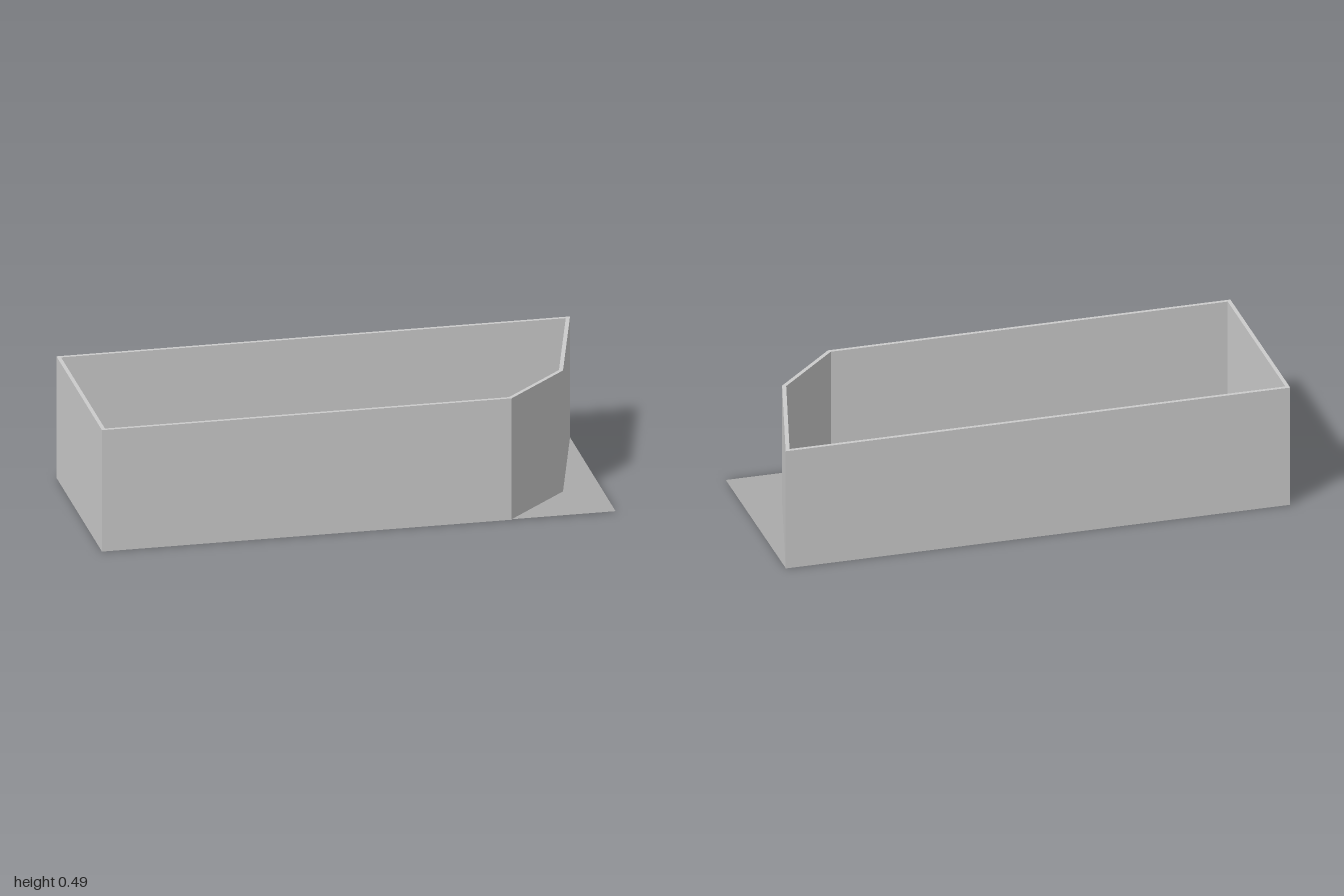
import * as THREE from 'three';
import { toCreasedNormals } from 'three/addons/utils/BufferGeometryUtils.js';

const HEIGHT = 0.494;
// Room plan as [x, z] corners, outside and inside of the walls
const OUTER = [[-1, -0.405], [1, -0.405], [0.85, 0.155], [0.595, 0.405], [-1, 0.405]];
const INNER = [[-0.985, -0.39], [0.98, -0.39], [0.836, 0.147], [0.588, 0.39], [-0.985, 0.39]];

const grey = new THREE.MeshStandardMaterial({ color: 0xcccccc });
const greyDouble = new THREE.MeshStandardMaterial({ color: 0xcccccc, side: THREE.DoubleSide });
const plateGrey = new THREE.MeshStandardMaterial({ color: 0xaaaaaa, side: THREE.DoubleSide });
const dark = new THREE.MeshStandardMaterial({ color: 0x1c1c1c });

function add(parent, name, geometry, material = grey) {
  const mesh = new THREE.Mesh(geometry, material);
  mesh.name = name;
  parent.add(mesh);
  return mesh;
}

// Box given by its min and max along each axis
function box(parent, name, x0, x1, y0, y1, z0, z1, material) {
  const mesh = add(parent, name, new THREE.BoxGeometry(x1 - x0, y1 - y0, z1 - z0), material);
  mesh.position.set((x0 + x1) / 2, (y0 + y1) / 2, (z0 + z1) / 2);
  return mesh;
}

const toPoints = (plan) => plan.map(([x, z]) => new THREE.Vector2(x, -z));

function extrudeUp(shape, depth) {
  return new THREE.ExtrudeGeometry(shape, { depth, bevelEnabled: false }).rotateX(-Math.PI / 2);
}

function makeRoom() {
  const room = new THREE.Group();
  room.name = 'room';
  // The hole runs the other way round, so the inner wall faces look into the room
  const wallShape = new THREE.Shape(toPoints(OUTER));
  wallShape.holes.push(new THREE.Path(toPoints(INNER).reverse()));
  add(room, 'walls', extrudeUp(wallShape, HEIGHT), greyDouble);
  add(room, 'roomFloor', extrudeUp(new THREE.Shape(toPoints(INNER)), 0.004));
  const plate = add(room, 'groundPlate', new THREE.PlaneGeometry(2, 0.81).rotateX(-Math.PI / 2), plateGrey);
  plate.position.y = 0.002;
  return room;
}

function makeKitchen() {
  const kitchen = new THREE.Group();
  kitchen.name = 'kitchen';

  // Stove with front plates and rear pan supports
  box(kitchen, 'stoveBody', -0.985, -0.866, 0.004, 0.17, -0.39, -0.272);
  for (const [x, r] of [[-0.955, 0.015], [-0.897, 0.021]]) {
    const plate = add(kitchen, 'hotPlate', new THREE.CylinderGeometry(r, r, 0.004, 32), dark);
    plate.position.set(x, 0.172, -0.303);
  }
  for (const [x, z] of [[-0.957, -0.367], [-0.9, -0.358]]) {
    for (const turn of [-0.6, 0.5]) {
      const bar = add(kitchen, 'panSupport', new THREE.BoxGeometry(0.024, 0.002, 0.002), dark);
      bar.position.set(x, 0.171, z);
      bar.rotation.y = turn;
    }
  }
  // Row of vents between stove and cabinet
  for (let i = 0; i < 16; i++) {
    const z = -0.388 + i * 0.0073;
    box(kitchen, 'vent', -0.866, -0.86, 0.165, 0.171, z, z + 0.004, dark);
  }

  // Cabinet with worktop, door and grip rail
  box(kitchen, 'cabinetBody', -0.86, -0.742, 0.004, 0.162, -0.39, -0.272);
  box(kitchen, 'worktop', -0.86, -0.742, 0.162, 0.17, -0.39, -0.27);
  box(kitchen, 'cabinetDoor', -0.86, -0.742, 0.02, 0.148, -0.272, -0.267);
  box(kitchen, 'gripRail', -0.86, -0.742, 0.138, 0.148, -0.267, -0.264);

  // Low fridge with a flush handle
  box(kitchen, 'fridge', -0.722, -0.603, 0.004, 0.178, -0.39, -0.268);
  box(kitchen, 'fridgeHandle', -0.716, -0.712, 0.09, 0.15, -0.268, -0.266);
  return kitchen;
}

function makeBathtub() {
  const tub = new THREE.Group();
  tub.name = 'bathtub';
  // Oval rings [half length, half width, height]: outside, rim, then the bowl
  // with long sloping ends and steep sides
  const rings = [
    [0.001, 0.001, 0], [0.1, 0.05, 0], [0.125, 0.056, 0.02], [0.142, 0.063, 0.06], [0.15, 0.067, 0.105],
    [0.162, 0.073, 0.112], [0.163, 0.074, 0.117], [0.161, 0.072, 0.12], [0.151, 0.065, 0.12],
    [0.147, 0.063, 0.112], [0.135, 0.06, 0.08], [0.115, 0.056, 0.052], [0.085, 0.05, 0.034],
    [0.05, 0.036, 0.025], [0.001, 0.001, 0.022],
  ];
  const oval = new THREE.LatheGeometry(rings.map(([r, , y]) => new THREE.Vector2(r, y)), 64);
  const position = oval.attributes.position;
  for (let i = 0; i < position.count; i++) {
    const [length, width] = rings[i % rings.length];
    position.setZ(i, position.getZ(i) * width / length);
  }
  const shell = add(tub, 'tubShell', toCreasedNormals(oval, 0.7), greyDouble);
  shell.position.y = 0.004;
  const drain = add(tub, 'drain', new THREE.CylinderGeometry(0.006, 0.006, 0.004, 20));
  drain.position.set(-0.005, 0.027, 0);
  const overflow = add(tub, 'overflow', new THREE.CylinderGeometry(0.004, 0.004, 0.006, 16));
  overflow.position.set(0, 0.121, 0.07);
  tub.position.set(-0.052, 0, -0.178);
  return tub;
}

export function createModel() {
  const model = new THREE.Group();
  model.name = 'roomWithKitchenAndBath';
  model.add(makeRoom(), makeKitchen(), makeBathtub());
  return model;
}
